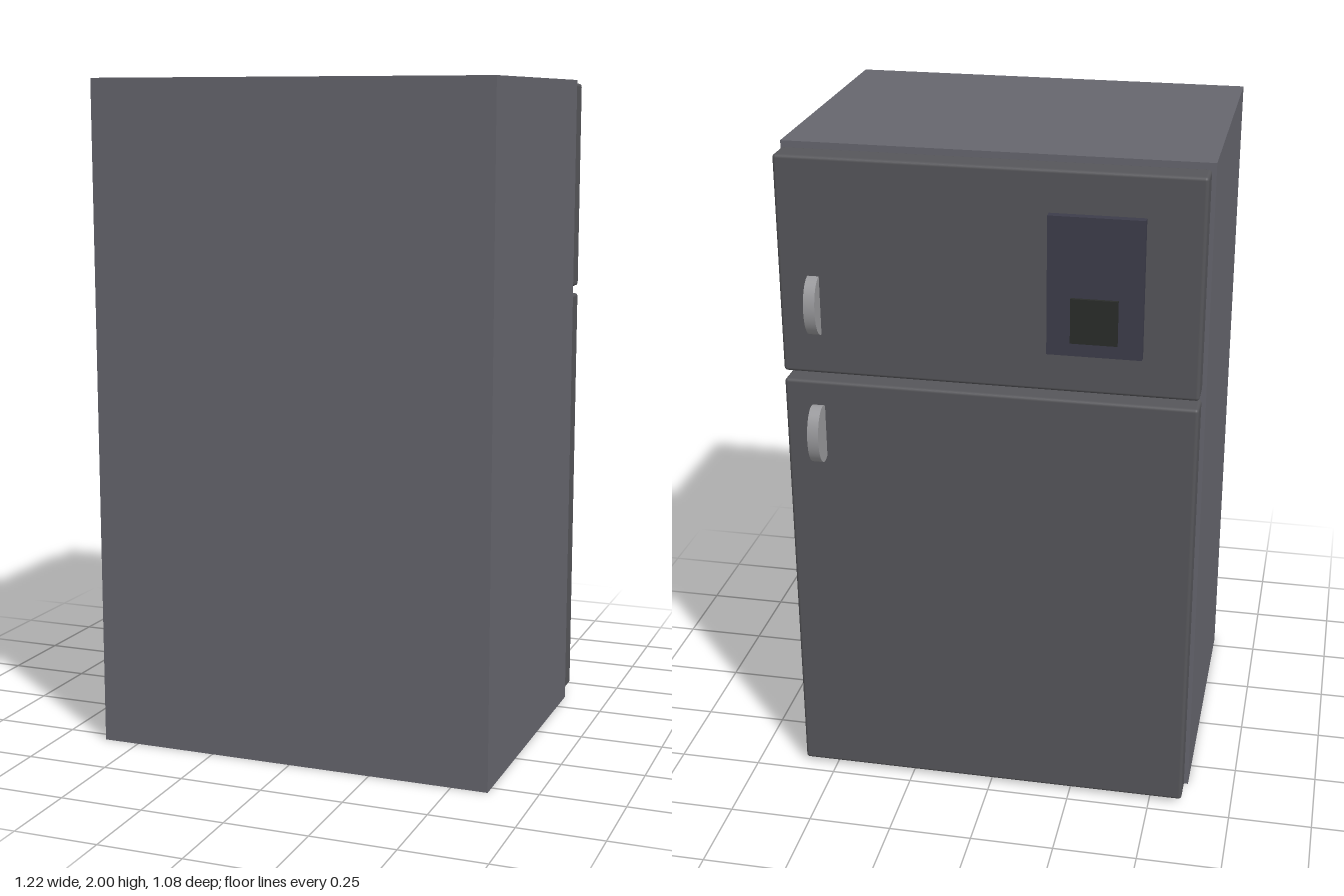
import * as THREE from 'three';
import { RoundedBoxGeometry } from 'three/addons/geometries/RoundedBoxGeometry.js';

const paint = (color) => new THREE.MeshStandardMaterial({ color });

export function createModel() {
  const group = new THREE.Group();
  const bodyMat = paint(0x66666e);
  const doorMat = paint(0x56565a);
  const handleMat = paint(0x9a9a9d);
  const panelMat = paint(0x3c3c4a);
  const recessMat = paint(0x2a2c2a);

  // Box given by its min and max corners; a radius rounds the edges
  function addBox(name, mat, [x0, y0, z0], [x1, y1, z1], radius = 0) {
    const size = [x1 - x0, y1 - y0, z1 - z0];
    const geo = radius
      ? new RoundedBoxGeometry(...size, 3, radius)
      : new THREE.BoxGeometry(...size);
    const mesh = new THREE.Mesh(geo, mat);
    mesh.name = name;
    mesh.position.set((x0 + x1) / 2, (y0 + y1) / 2, (z0 + z1) / 2);
    group.add(mesh);
  }

  // Handle: an upright oval disc partly sunk into the door
  function addHandle(name, y, z) {
    const geo = new THREE.CylinderGeometry(1, 1, 0.033, 40);
    geo.rotateZ(Math.PI / 2);
    geo.scale(1, 0.087, 0.057);
    const mesh = new THREE.Mesh(geo, handleMat);
    mesh.name = name;
    mesh.position.set(0.498, y, z);
    group.add(mesh);
  }

  // Cabinet
  addBox('cabinet', bodyMat, [-0.61, 0, -0.35], [0.61, 2, 0.54]);

  // Doors, set slightly off the cabinet
  addBox('freezerDoor', doorMat, [-0.6, 1.35, -0.46], [0.6, 1.99, -0.375], 0.01);
  addBox('fridgeDoor', doorMat, [-0.6, 0.015, -0.46], [0.6, 1.325, -0.375], 0.01);

  // Handles
  addHandle('freezerHandle', 1.558, -0.458);
  addHandle('fridgeHandle', 1.17, -0.483);

  // Dispenser on the freezer door
  addBox('dispenserPanel', panelMat, [-0.44, 1.47, -0.485], [-0.173, 1.87, -0.455]);
  addBox('dispenserOutlet', recessMat, [-0.372, 1.51, -0.494], [-0.24, 1.64, -0.48]);

  return group;
}
